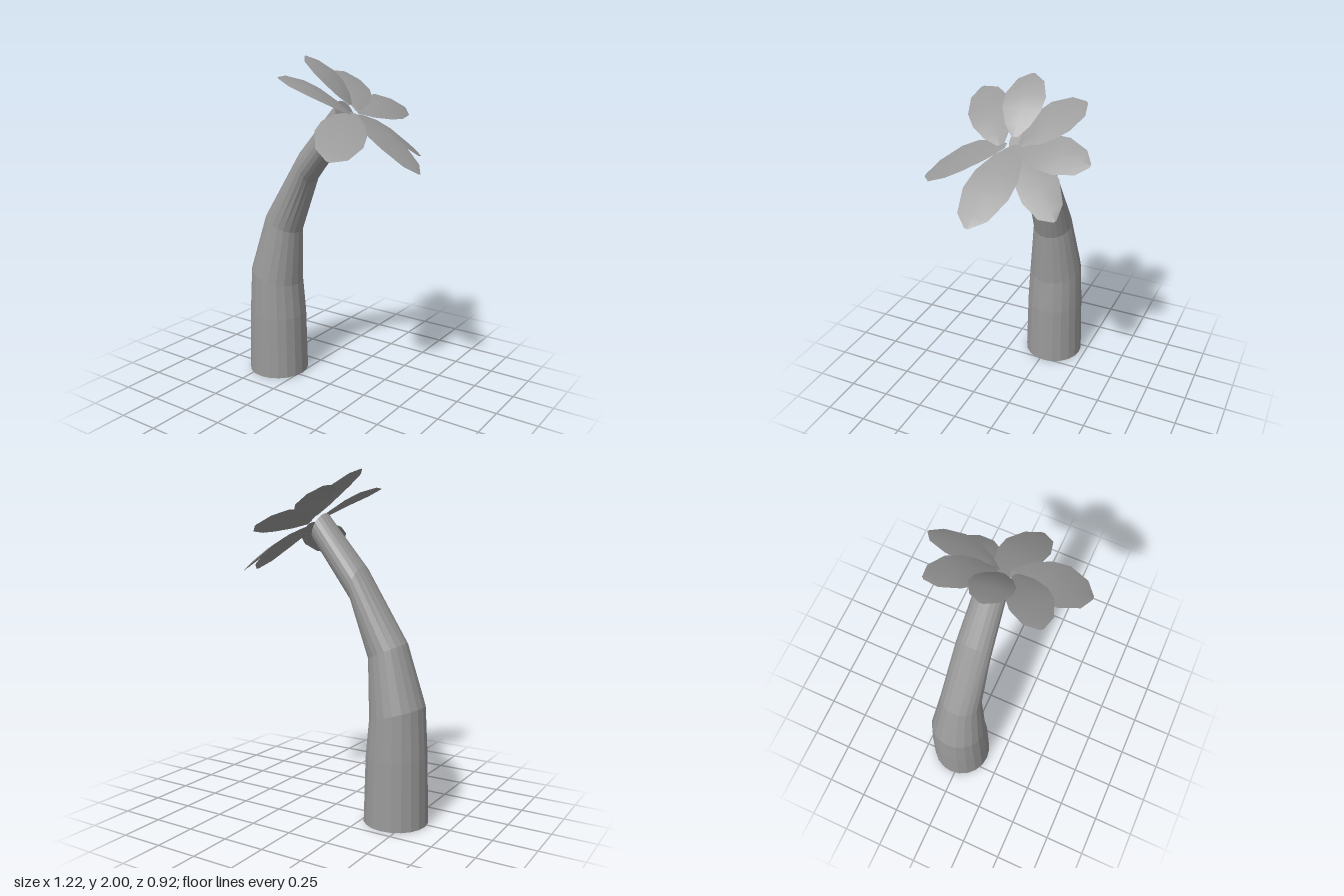
import * as THREE from 'three';

const V = (p) => new THREE.Vector3(...p);

// Indexed surface through rows of points; closed rows wrap around.
function loft(rows, closed, caps) {
  const n = rows[0].length, pos = [], idx = [];
  rows.forEach((r) => r.forEach((p) => pos.push(p.x, p.y, p.z)));
  const m = closed ? n : n - 1;
  for (let i = 0; i < rows.length - 1; i++) {
    for (let j = 0; j < m; j++) {
      const a = i * n + j, b = i * n + (j + 1) % n;
      idx.push(a, a + n, b, b, a + n, b + n);
    }
  }
  if (caps) {
    const top = (rows.length - 1) * n;
    for (let j = 1; j < n - 1; j++) {
      idx.push(0, j, j + 1, top, top + j + 1, top + j);
    }
  }
  const g = new THREE.BufferGeometry();
  g.setAttribute('position', new THREE.Float32BufferAttribute(pos, 3));
  g.setIndex(idx);
  return g;
}

// Faceted bent trunk: each ring is given by its outer and inner edge in the xy plane.
function trunkGeometry() {
  const sides = 20, zc = -0.027;
  const rings = [
    [-0.61, 0, -0.236, 0], [-0.60, 0.4, -0.245, 0.39], [-0.583, 0.69, -0.265, 0.6],
    [-0.47, 1.04, -0.25, 0.94], [-0.20, 1.46, -0.14, 1.26], [0.05, 1.755, 0.12, 1.6],
  ];
  const rows = rings.map(([x0, y0, x1, y1]) => {
    const hx = (x1 - x0) / 2, hy = (y1 - y0) / 2, r = Math.hypot(hx, hy);
    return Array.from({ length: sides }, (_, j) => {
      const a = (j / sides) * Math.PI * 2;
      return new THREE.Vector3(
        (x0 + x1) / 2 + hx * Math.cos(a), (y0 + y1) / 2 + hy * Math.cos(a), zc + r * Math.sin(a));
    });
  });
  const g = loft(rows, true, true).toNonIndexed();
  g.computeVertexNormals();
  return g;
}

// Broad leaf from base to tip; half is the sideways vector at the widest place.
function leafGeometry(base, tip, half) {
  const b = V(base), t = V(tip), h = V(half);
  const up = new THREE.Vector3().crossVectors(t.clone().sub(b), h).normalize();
  if (up.y < 0) up.negate();
  const profile = [[0, 0.15], [0.17, 0.62], [0.4, 0.95], [0.62, 1], [0.88, 0.66], [1, 0.08]];
  const rows = profile.map(([s, w]) => {
    const c = b.clone().lerp(t, s).addScaledVector(up, 0.02 * Math.sin(s * Math.PI));
    return [-1, 0, 1].map((k) => c.clone().addScaledVector(h, k * w)
      .addScaledVector(up, k ? 0 : 0.012 * w));
  });
  const g = loft(rows, false, false);
  g.computeVertexNormals();
  return g;
}

export function createModel() {
  const group = new THREE.Group();
  const grey = new THREE.MeshStandardMaterial({ color: 0x999999, side: THREE.DoubleSide });
  grey.name = 'grey';

  const trunk = new THREE.Mesh(trunkGeometry(), grey);
  trunk.name = 'trunk';
  group.add(trunk);

  // Crown of seven leaves: base, tip, half width
  const crown = new THREE.Group();
  crown.name = 'crown';
  const leaves = [
    [[0.13, 1.69, -0.01], [0.61, 1.41, 0.05], [0, 0.01, 0.13]],
    [[0.18, 1.70, 0.03], [0.31, 1.505, 0.458], [0.14, -0.035, -0.02]],
    [[0.18, 1.70, 0.06], [-0.12, 1.895, 0.315], [0.085, -0.035, 0.085]],
    [[0.14, 1.74, 0.0], [-0.155, 1.998, 0.02], [0.01, 0, 0.113]],
    [[0.16, 1.71, -0.04], [-0.11, 1.895, -0.31], [0.08, -0.04, -0.085]],
    [[0.16, 1.70, -0.03], [0.225, 1.69, -0.46], [0.1, -0.065, 0.01]],
    [[0.15, 1.68, -0.03], [0.4, 1.435, -0.345], [0.09, -0.04, 0.065]],
  ];
  leaves.forEach((l, i) => {
    const leaf = new THREE.Mesh(leafGeometry(...l), grey);
    leaf.name = 'leaf' + (i + 1);
    crown.add(leaf);
  });
  group.add(crown);
  return group;
}
